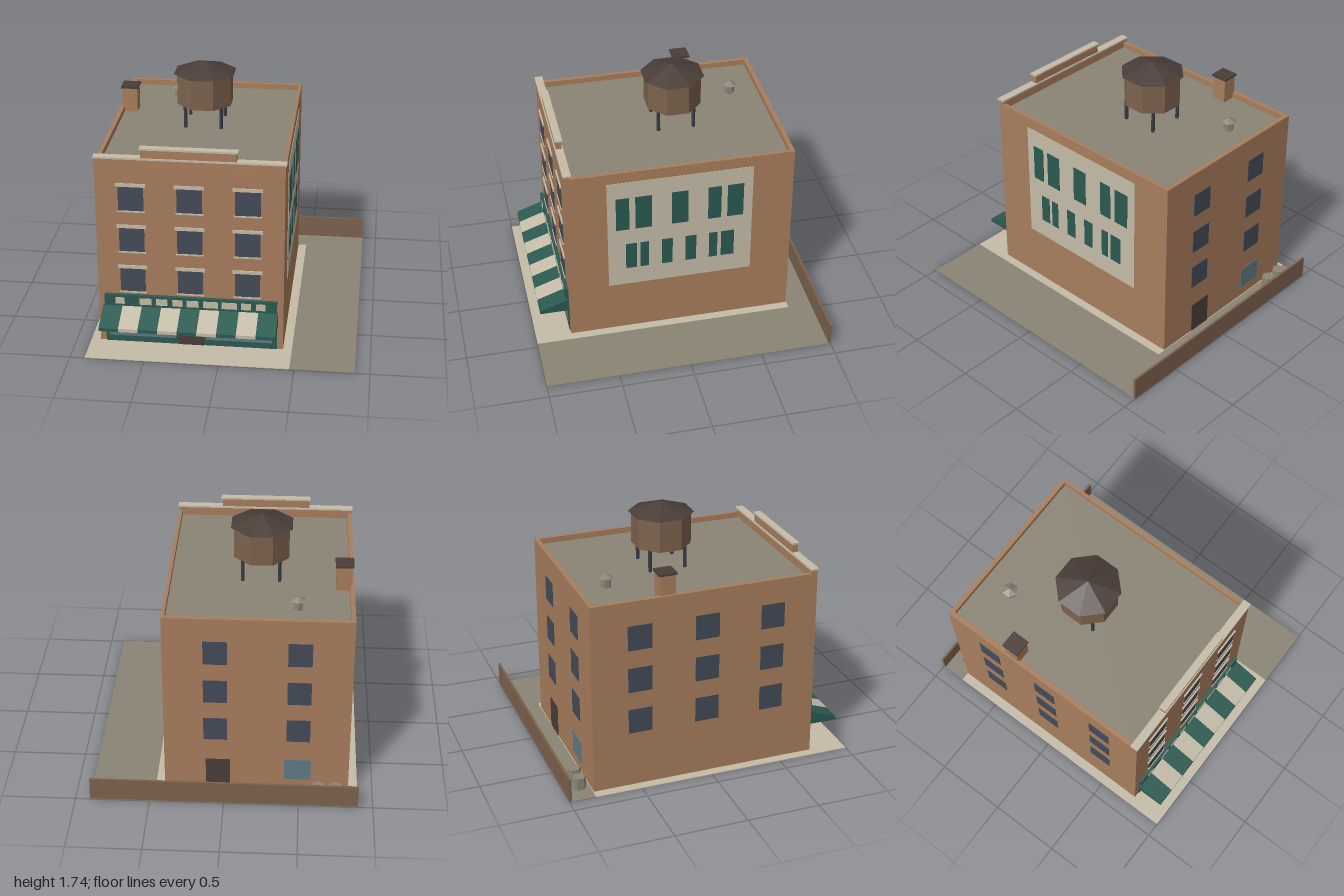
import * as THREE from 'three';

const mat = (name, color) => {
  const m = new THREE.MeshStandardMaterial({ color });
  m.name = name;
  return m;
};

export function createModel() {
  const brick = mat('brick', 0xa87d5c);
  const stone = mat('pale stone', 0xc5bca8);
  const green = mat('shop green', 0x2a5a50);
  const grey = mat('pavement grey', 0x8a8474);
  const timber = mat('timber brown', 0x7c624d);
  const dark = mat('dark brown', 0x4a3d38);
  const glass = mat('dark glass', 0x434b58);
  const shopGlass = mat('shop glass', 0x5f7a84);
  const steel = mat('dark steel', 0x363b46);
  for (const m of [brick, stone, green, grey, timber, dark, glass, shopGlass, steel]) m.flatShading = true;

  const model = new THREE.Group();
  model.name = 'cornerShopBuilding';

  const add = (name, geo, material, x = 0, y = 0, z = 0) => {
    const mesh = new THREE.Mesh(geo, material);
    mesh.name = name;
    mesh.position.set(x, y, z);
    model.add(mesh);
    return mesh;
  };
  // Box given by its limits on each axis
  const box = (name, m, x0, x1, y0, y1, z0, z1) =>
    add(name, new THREE.BoxGeometry(x1 - x0, y1 - y0, z1 - z0), m, (x0 + x1) / 2, (y0 + y1) / 2, (z0 + z1) / 2);
  // Upright prism or cone with flat sides
  const prism = (name, m, rTop, rBottom, y0, y1, x, z, sides, turn = 0) => {
    const mesh = add(name, new THREE.CylinderGeometry(rTop, rBottom, y1 - y0, sides), m, x, (y0 + y1) / 2, z);
    mesh.rotation.y = turn;
    return mesh;
  };

  // Ground
  const G = 0.005;
  box('sidewalk', stone, -0.9, 0.47, 0, G, -0.82, 1);
  box('sideLot', grey, 0.47, 0.9, 0, G, -0.82, 1);
  box('backAlley', grey, -0.9, 0.9, 0, G, -1, -0.82);
  box('backFence', timber, -0.9, 0.9, G, 0.165, -1, -0.985);

  // Walls, roof deck and parapets
  const L = -0.836, R = 0.41, B = -0.815, F = 0.752, deck = 1.29, top = 1.33;
  box('walls', brick, L, R, G, deck - 0.005, B, F);
  box('roofDeck', grey, L + 0.03, R - 0.02, deck - 0.005, deck, B + 0.03, F - 0.04);
  box('leftParapet', brick, L, L + 0.03, deck - 0.005, top, B, F);
  box('rightParapet', brick, R - 0.022, R, deck - 0.005, top, B, F);
  box('backParapet', brick, L + 0.03, R - 0.022, deck - 0.005, top, B, B + 0.03);
  box('frontParapet', brick, L, R, deck - 0.005, 1.353, F - 0.04, F);
  box('cornice', stone, -0.841, 0.418, 1.353, 1.365, 0.703, 0.76);
  box('pediment', brick, -0.53, 0.095, 1.365, 1.422, 0.712, F);
  box('pedimentCap', stone, -0.537, 0.105, 1.422, 1.434, 0.706, 0.758);

  // Windows
  const rows = [0.393, 0.691, 0.989], H = 0.172, P = 0.004;
  for (const y of rows) {
    for (const x of [-0.6, -0.214, 0.168]) {
      box('frontWindow', glass, x - 0.084, x + 0.084, y, y + H, F, F + P);
      box('windowLintel', stone, x - 0.099, x + 0.099, y + H, y + H + 0.022, F, F + 0.01);
      box('windowSill', stone, x - 0.092, x + 0.092, y - 0.01, y, F, F + 0.009);
    }
    for (const x of [-0.49, 0.065]) box('backWindow', glass, x - 0.079, x + 0.079, y, y + H, B - P, B);
    for (const z of [-0.485, -0.02, 0.44]) box('sideWindow', glass, L - P, L, y, y + H, z - 0.082, z + 0.082);
  }
  box('backDoor', dark, -0.035, 0.13, G, 0.23, B - P, B);
  box('backShopWindow', shopGlass, -0.58, -0.4, 0.08, 0.24, B - P, B);

  // Painted panel on the right wall
  box('wallPanel', stone, R, R + 0.003, 0.39, 1.251, -0.532, 0.473);
  const blocks = (y0, y1, spans) => {
    for (const [z0, z1] of spans) box('panelBlock', green, R + 0.003, R + 0.006, y0, y1, z0, z1);
  };
  blocks(0.863, 1.124, [[0.323, 0.414], [0.168, 0.281], [-0.083, 0.029], [-0.313, -0.222], [-0.468, -0.356]]);
  blocks(0.53, 0.738, [[0.275, 0.35], [0.19, 0.249], [0.024, 0.099], [-0.142, -0.067], [-0.291, -0.233], [-0.409, -0.318]]);

  // Shop front
  const S = F + 0.006;
  box('shopFrame', green, -0.795, 0.369, G, 0.29, F, S);
  for (const [x0, x1] of [[-0.769, -0.316], [-0.113, 0.335]])
    box('shopWindow', shopGlass, x0, x1, 0.05, 0.25, S, S + P);
  box('shopDoor', dark, -0.3, -0.128, G, 0.25, S, S + P);
  box('shopDoorGlass', shopGlass, -0.277, -0.152, 0.08, 0.225, S + P, S + 2 * P);

  // Sign band with plain pale blocks
  box('signBand', green, -0.795, 0.367, 0.288, 0.369, F, 0.776);
  for (const [x0, x1] of [[-0.72, -0.658], [-0.557, -0.475], [-0.446, -0.369], [-0.335, -0.267], [-0.239, -0.157],
    [-0.128, -0.027], [-0.002, 0.099], [0.128, 0.195], [0.229, 0.292]])
    box('signBlock', stone, x0, x1, 0.304, 0.352, 0.776, 0.779);

  // Striped awning: one wedge per stripe
  const side = new THREE.Shape([[-0.76, 0.283], [-0.76, 0.188], [-0.957, 0.188], [-0.957, 0.212]]
    .map(([a, b]) => new THREE.Vector2(a, b)));
  const stripe = 1.18 / 9;
  const wedge = new THREE.ExtrudeGeometry(side, { depth: stripe, bevelEnabled: false });
  wedge.rotateY(Math.PI / 2);
  for (let i = 0; i < 9; i++) add('awningStripe', wedge, i % 2 ? stone : green, -0.807 + i * stripe);

  // Water tank on four legs
  const tx = -0.214, tz = -0.11, turn = Math.PI / 8;
  for (const sx of [-1, 1]) for (const sz of [-1, 1])
    prism('tankLeg', steel, 0.013, 0.013, deck, 1.445, tx + sx * 0.123, tz + sz * 0.123, 6);
  prism('waterTank', timber, 0.199, 0.199, 1.44, 1.66, tx, tz, 8, turn);
  prism('tankRoof', dark, 0, 0.221, 1.66, 1.735, tx, tz, 8, turn);

  // Chimney, roof vent and bins
  box('chimney', brick, -0.82, -0.714, deck, 1.464, -0.34, -0.236);
  box('chimneyCap', dark, -0.828, -0.706, 1.464, 1.478, -0.349, -0.227);
  prism('roofVent', grey, 0.036, 0.036, deck, 1.357, -0.466, -0.585, 6);
  prism('ventCap', grey, 0, 0.054, 1.355, 1.383, -0.466, -0.585, 6);
  for (const x of [-0.749, -0.632]) prism('bin', grey, 0.046, 0.046, G, 0.09, x, -0.888, 6);

  return model;
}
